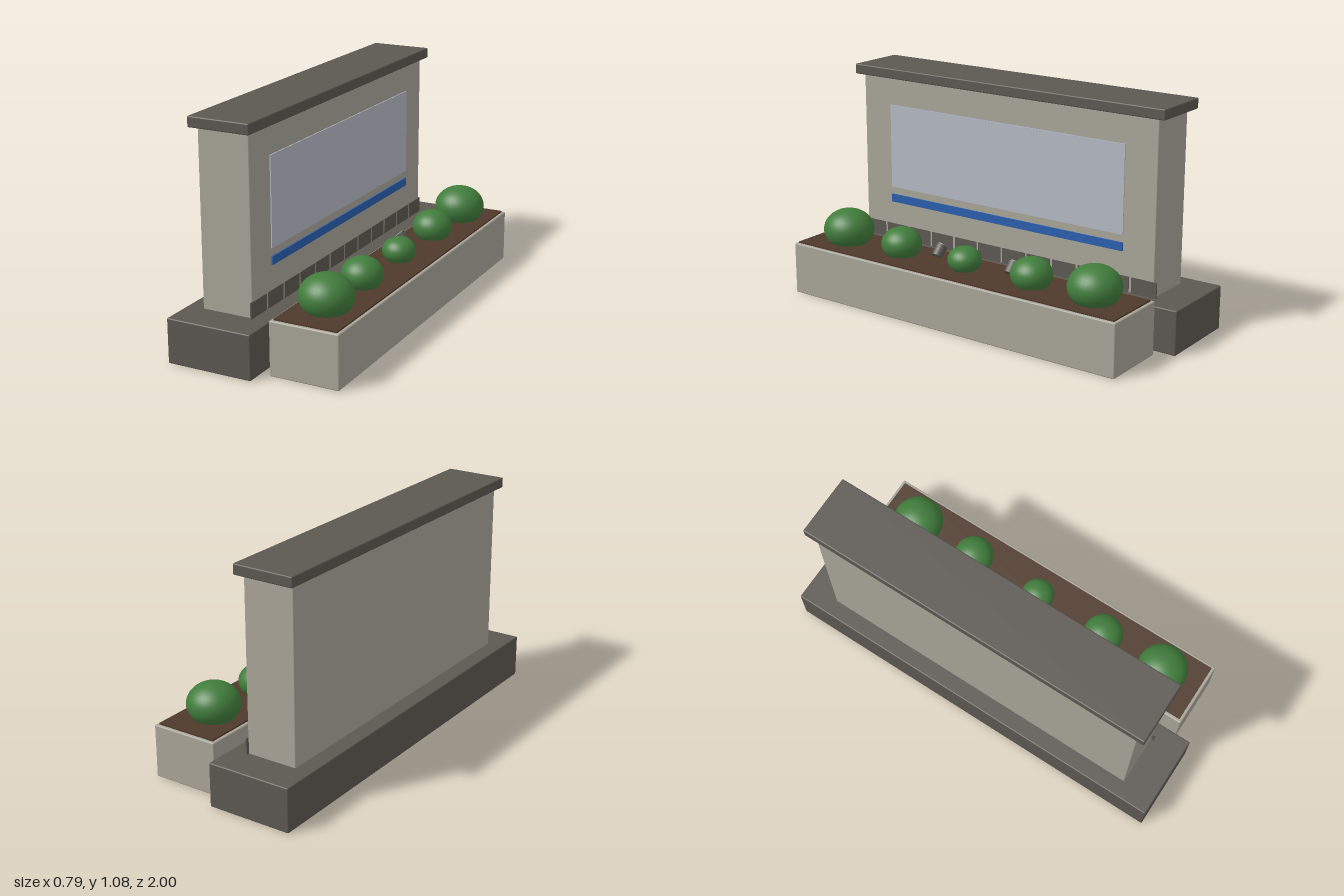
import * as THREE from 'three';
import { RoundedBoxGeometry } from 'three/addons/geometries/RoundedBoxGeometry.js';

const material = (name, color) => {
  const m = new THREE.MeshStandardMaterial({ color });
  m.name = name;
  return m;
};

export function createModel() {
  const model = new THREE.Group();
  model.name = 'monumentWallWithPlanter';

  const stone = material('paleStone', 0xa8a498);
  const dark = material('darkStone', 0x5c5852);
  const glass = material('paleMetal', 0xb4bac3);
  const blue = material('blueTrim', 0x2a5fae);
  const soil = material('soil', 0x4f3a2b);
  const leaf = material('foliage', 0x417d3c);

  const add = (name, geometry, mat, parent = model) => {
    const mesh = new THREE.Mesh(geometry, mat);
    mesh.name = name;
    parent.add(mesh);
    return mesh;
  };

  // Box given by its x and y limits, its z length and centre; optional rounded edges
  const box = (name, mat, x0, x1, y0, y1, length, z = 0, radius = 0) => {
    const size = [x1 - x0, y1 - y0, length];
    const geometry = radius
      ? new RoundedBoxGeometry(...size, 2, radius)
      : new THREE.BoxGeometry(...size);
    add(name, geometry, mat).position.set((x0 + x1) / 2, (y0 + y1) / 2, z);
  };

  // Wall on its plinth
  box('plinth', dark, -0.395, 0.02, 0, 0.21, 2, 0, 0.006);
  box('wall', stone, -0.315, -0.065, 0.205, 1.035, 1.67, 0, 0.005);
  box('wallCap', dark, -0.34, -0.04, 1.03, 1.08, 1.75, 0, 0.006);

  // Plates on the wall face
  box('displayPanel', glass, -0.066, -0.06, 0.477, 0.895, 1.34);
  box('blueStrip', blue, -0.066, -0.058, 0.4, 0.44, 1.34);
  for (let i = 0; i < 12; i++) {
    box('baseTile', dark, -0.068, -0.062, 0.21, 0.285, 0.13, (i - 5.5) * 0.1425);
  }

  // Planter filled with soil
  box('planter', stone, 0.062, 0.395, 0, 0.253, 1.83, 0, 0.006);
  box('soilBed', soil, 0.077, 0.38, 0.24, 0.26, 1.8);

  // Flattened round bushes: z, radius, half height, centre height
  const bushes = [
    [0, 0.08, 0.064, 0.305],
    [0.375, 0.097, 0.08, 0.312],
    [-0.375, 0.097, 0.08, 0.312],
    [0.707, 0.123, 0.1, 0.324],
    [-0.707, 0.123, 0.1, 0.324],
  ];
  for (const [z, radius, halfHeight, y] of bushes) {
    const bush = add('bush', new THREE.SphereGeometry(1, 32, 20), leaf);
    bush.scale.set(radius, halfHeight, radius);
    bush.position.set(0.226, y, z);
  }

  // Spotlights tilted up towards the wall
  for (const side of [-1, 1]) {
    const lamp = new THREE.Group();
    lamp.name = 'spotlight';
    add('lampBody', new THREE.CylinderGeometry(0.028, 0.025, 0.06, 20), dark, lamp);
    add('lampLens', new THREE.CylinderGeometry(0.025, 0.025, 0.004, 20), glass, lamp).position.y = 0.031;
    lamp.position.set(0.147, 0.283, side * 0.21);
    lamp.rotation.z = Math.PI / 4;
    model.add(lamp);
  }

  return model;
}
